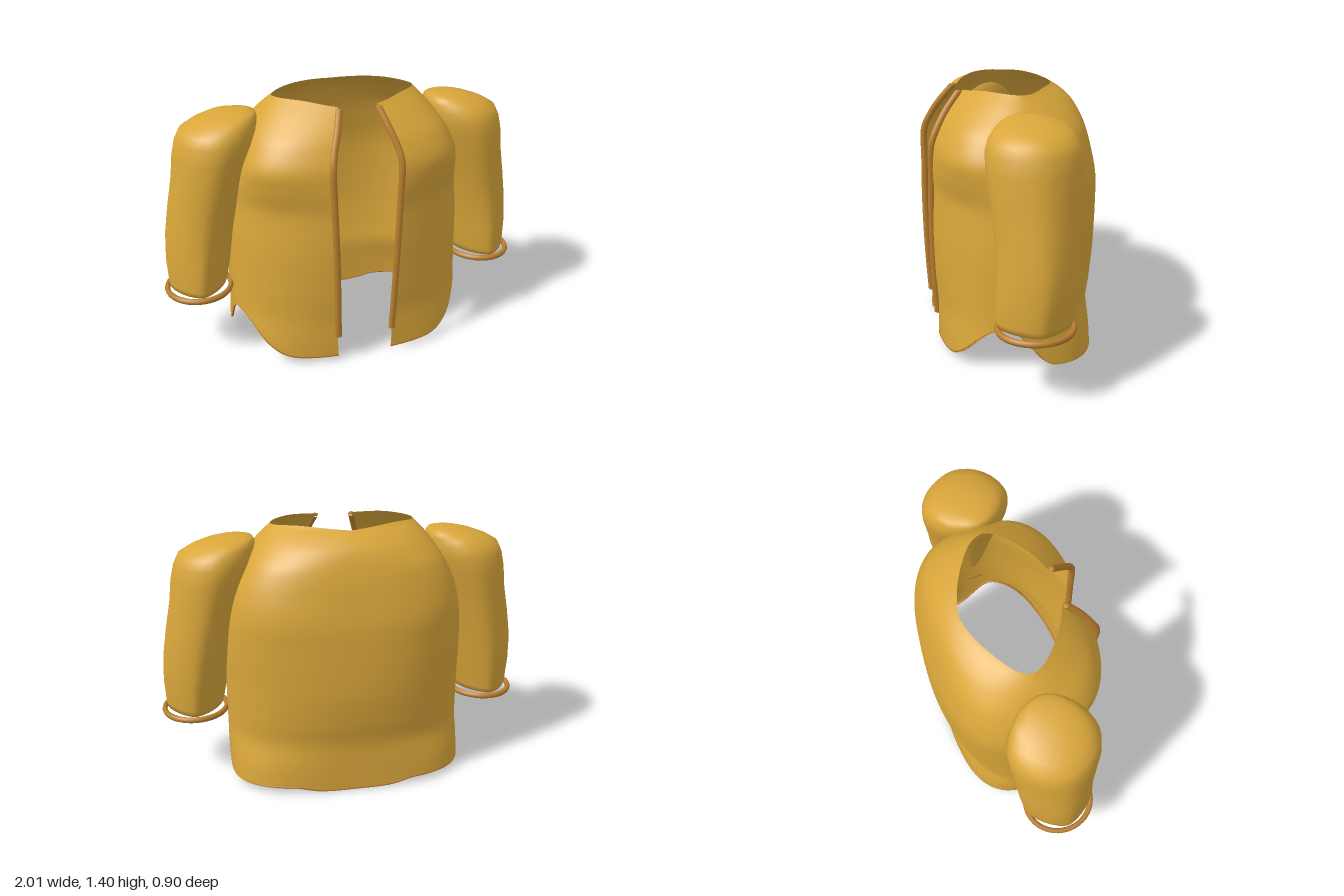
import * as THREE from 'three';

// Smooth lookup without overshoot in rows of [key, value], keys ascending
function lookup(rows, k) {
  const last = rows.length - 1;
  if (k <= rows[0][0]) return rows[0][1];
  if (k >= rows[last][0]) return rows[last][1];
  const grade = (i) => (rows[i + 1][1] - rows[i][1]) / (rows[i + 1][0] - rows[i][0]);
  const tangent = (i) => {
    if (i === 0) return grade(0);
    if (i === last) return grade(last - 1);
    const a = grade(i - 1), b = grade(i);
    return a * b <= 0 ? 0 : (2 * a * b) / (a + b);
  };
  const i = rows.findIndex((r) => r[0] > k) - 1;
  const h = rows[i + 1][0] - rows[i][0], t = (k - rows[i][0]) / h, s = 1 - t;
  return rows[i][1] * (1 + 2 * t) * s * s + rows[i + 1][1] * t * t * (3 - 2 * t)
    + h * t * s * (tangent(i) * s - tangent(i + 1) * t);
}

// Rounded-oval point: phi = 0 is the front, turning towards +x
function oval(phi, rx, rz, n) {
  const s = Math.sin(phi), c = Math.cos(phi);
  return [
    rx * Math.sign(s) * Math.abs(s) ** (2 / n),
    rz * Math.sign(c) * Math.abs(c) ** (2 / n),
  ];
}

// Surface through rows of points; rows run upwards, points run front -> +x -> back
function skin(rows, closed) {
  const pos = rows.flat(2), index = [], m = rows[0].length;
  const cols = closed ? m : m - 1;
  for (let i = 0; i < rows.length - 1; i++) {
    for (let j = 0; j < cols; j++) {
      const a = i * m + j, b = i * m + ((j + 1) % m), c = b + m, d = a + m;
      index.push(a, b, c, a, c, d);
    }
  }
  // Closed tubes get both ends filled
  if (closed) {
    [0, rows.length - 1].forEach((r) => {
      const mid = [0, 1, 2].map((k) => rows[r].reduce((t, p) => t + p[k], 0) / m);
      const centre = pos.length / 3;
      pos.push(...mid);
      for (let j = 0; j < m; j++) {
        const a = r * m + j, b = r * m + ((j + 1) % m);
        if (r === 0) index.push(centre, b, a);
        else index.push(centre, a, b);
      }
    });
  }
  const g = new THREE.BufferGeometry();
  g.setAttribute('position', new THREE.Float32BufferAttribute(pos, 3));
  g.setIndex(index);
  g.computeVertexNormals();
  return g;
}

// Body profiles by height
const WIDTH = [[0, 0.65], [0.3, 0.65], [0.65, 0.65], [0.85, 0.64], [1, 0.615], [1.1, 0.585],
  [1.2, 0.535], [1.28, 0.48], [1.34, 0.43], [1.38, 0.39], [1.4, 0.37]];
const FRONT = [[0, 0.41], [0.2, 0.412], [0.4, 0.43], [0.7, 0.443], [0.95, 0.435], [1.1, 0.415],
  [1.2, 0.375], [1.3, 0.315], [1.37, 0.26], [1.4, 0.235]];
const BACK = [[0, 0.412], [0.25, 0.412], [0.4, 0.437], [0.6, 0.455], [0.9, 0.445], [1.1, 0.41],
  [1.2, 0.385], [1.3, 0.345], [1.36, 0.285], [1.39, 0.235], [1.4, 0.225]];
// Squareness of the front and back corners by height
const FRONT_ROUND = [[0, 2.9], [0.12, 2.7], [0.3, 2.25], [0.6, 2], [0.85, 1.85], [1, 2.35],
  [1.1, 2.85], [1.2, 2.8], [1.3, 2.2], [1.4, 1.65]];
const BACK_ROUND = [[0, 3.3], [0.12, 3], [0.3, 2.3], [0.55, 2.2], [0.8, 2.4], [1.05, 2.75],
  [1.2, 2.7], [1.3, 2.2], [1.4, 1.65]];
const OPENING = [[0, 0.15], [0.6, 0.165], [1.13, 0.18], [1.25, 0.145], [1.38, 0.1]];
// Hem height by depth: arched at the sides, low at front and back
const HEM = [[-0.411, 0.004], [-0.398, 0.032], [-0.12, 0.045], [-0.05, 0.1], [0.03, 0.18],
  [0.1, 0.235], [0.15, 0.26], [0.2, 0.252], [0.25, 0.21], [0.32, 0.1], [0.37, 0.04], [0.41, 0.025]];
// Neckline height from the opening edge round to the middle of the back
const NECK = [[0, 1.375], [0.1, 1.395], [0.25, 1.39], [0.36, 1.4], [0.5, 1.387]];

function bodyPoint(u, y) {
  const w = lookup(WIDTH, y), n = lookup(FRONT_ROUND, y);
  const start = Math.asin((lookup(OPENING, y) / w) ** (n / 2));
  const phi = start + (Math.PI * 2 - 2 * start) * u;
  const front = Math.cos(phi) > 0;
  const [x, z] = front ? oval(phi, w, lookup(FRONT, y), n)
    : oval(phi, w, lookup(BACK, y), lookup(BACK_ROUND, y));
  return [x, y, z];
}

const hemHeight = (u) => lookup(HEM, bodyPoint(u, 0.1)[2]);

function bodyGeometry() {
  const rows = [], cols = 96, levels = 48;
  for (let i = 0; i <= levels; i++) {
    const v = 1 - (1 - i / levels) ** 1.4, row = [];
    for (let j = 0; j <= cols; j++) {
      const u = j / cols, hem = hemHeight(u);
      const top = lookup(NECK, Math.min(u, 1 - u));
      row.push(bodyPoint(u, hem + (top - hem) * v));
    }
    rows.push(row);
  }
  return skin(rows, false);
}

// Sleeve sections: height, inner x, outer x, front z, back z, roundness
const SLEEVE = [
  [0.385, 0.71, 0.94, 0.16, -0.12, 1.5],
  [0.39, 0.675, 0.975, 0.205, -0.16, 1.5],
  [0.42, 0.665, 0.98, 0.215, -0.17, 1.5],
  [0.55, 0.64, 0.985, 0.213, -0.185, 1.55],
  [0.7, 0.605, 0.975, 0.203, -0.2, 1.65],
  [0.85, 0.57, 0.95, 0.21, -0.207, 1.7],
  [1, 0.53, 0.92, 0.225, -0.218, 1.75],
  [1.12, 0.49, 0.905, 0.235, -0.228, 1.8],
  [1.2, 0.465, 0.885, 0.232, -0.228, 1.85],
  [1.25, 0.46, 0.86, 0.215, -0.21, 1.85],
  [1.285, 0.46, 0.8, 0.185, -0.185, 1.85],
  [1.31, 0.465, 0.73, 0.15, -0.15, 1.9],
  [1.327, 0.475, 0.66, 0.1, -0.09, 2],
  [1.333, 0.51, 0.6, 0.05, -0.04, 2],
];

function sleeveGeometry(side) {
  const rows = SLEEVE.map(([y, x0, x1, z0, z1, n]) => {
    const row = [];
    for (let j = 0; j < 32; j++) {
      const [x, z] = oval((j / 32) * Math.PI * 2, (x1 - x0) / 2, (z0 - z1) / 2, n);
      row.push([side * (x0 + x1) / 2 + x, y, (z0 + z1) / 2 + z]);
    }
    return row;
  });
  return skin(rows, true);
}

export function createModel() {
  const model = new THREE.Group();
  const cloth = new THREE.MeshStandardMaterial({ color: 0xd9a63a, side: THREE.DoubleSide });
  cloth.name = 'goldCloth';
  const piping = new THREE.MeshStandardMaterial({ color: 0xb97f2e });
  piping.name = 'bronzeTrim';

  const add = (name, geometry, material) => {
    const mesh = new THREE.Mesh(geometry, material);
    mesh.name = name;
    model.add(mesh);
    return mesh;
  };

  add('jacketBody', bodyGeometry(), cloth);

  // Thin piping tucked just inside the hem
  const hemPoints = [];
  for (let j = 0; j <= 64; j++) {
    const u = j / 64, [x, y, z] = bodyPoint(u, hemHeight(u) + 0.006);
    hemPoints.push(new THREE.Vector3(x * 0.99, y, z * 0.99));
  }
  add('hemTrim', new THREE.TubeGeometry(new THREE.CatmullRomCurve3(hemPoints), 160, 0.007, 6), piping);

  for (const side of [1, -1]) {
    const label = side > 0 ? 'left' : 'right';
    add(label + 'Sleeve', sleeveGeometry(side), cloth);

    // Cuff ring around the end of the sleeve
    const ring = new THREE.TorusGeometry(0.17, 0.014, 8, 40);
    ring.rotateX(Math.PI / 2);
    ring.scale(1, 1.2, 1.08);
    add(label + 'Cuff', ring, piping).position.set(side * 0.823, 0.372, 0.022);

    // Piping along the front opening, standing off the cloth near the collar
    const points = [0.16, 0.4, 0.7, 0.95, 1.12, 1.2, 1.28, 1.365].map((y) => {
      const p = bodyPoint(0, y);
      return new THREE.Vector3(side * (p[0] - 0.003), y, p[2] + (y > 1 ? 0.015 : 0.004));
    });
    const path = new THREE.CatmullRomCurve3(points);
    add(label + 'FrontTrim', new THREE.TubeGeometry(path, 40, 0.018, 8), piping);
    [points[0], points[points.length - 1]].forEach((p, i) => {
      const end = add(label + (i ? 'TrimTop' : 'TrimBottom'), new THREE.SphereGeometry(0.018, 8, 6), piping);
      end.position.copy(p);
      end.scale.y = 0.5;
    });
  }
  return model;
}
